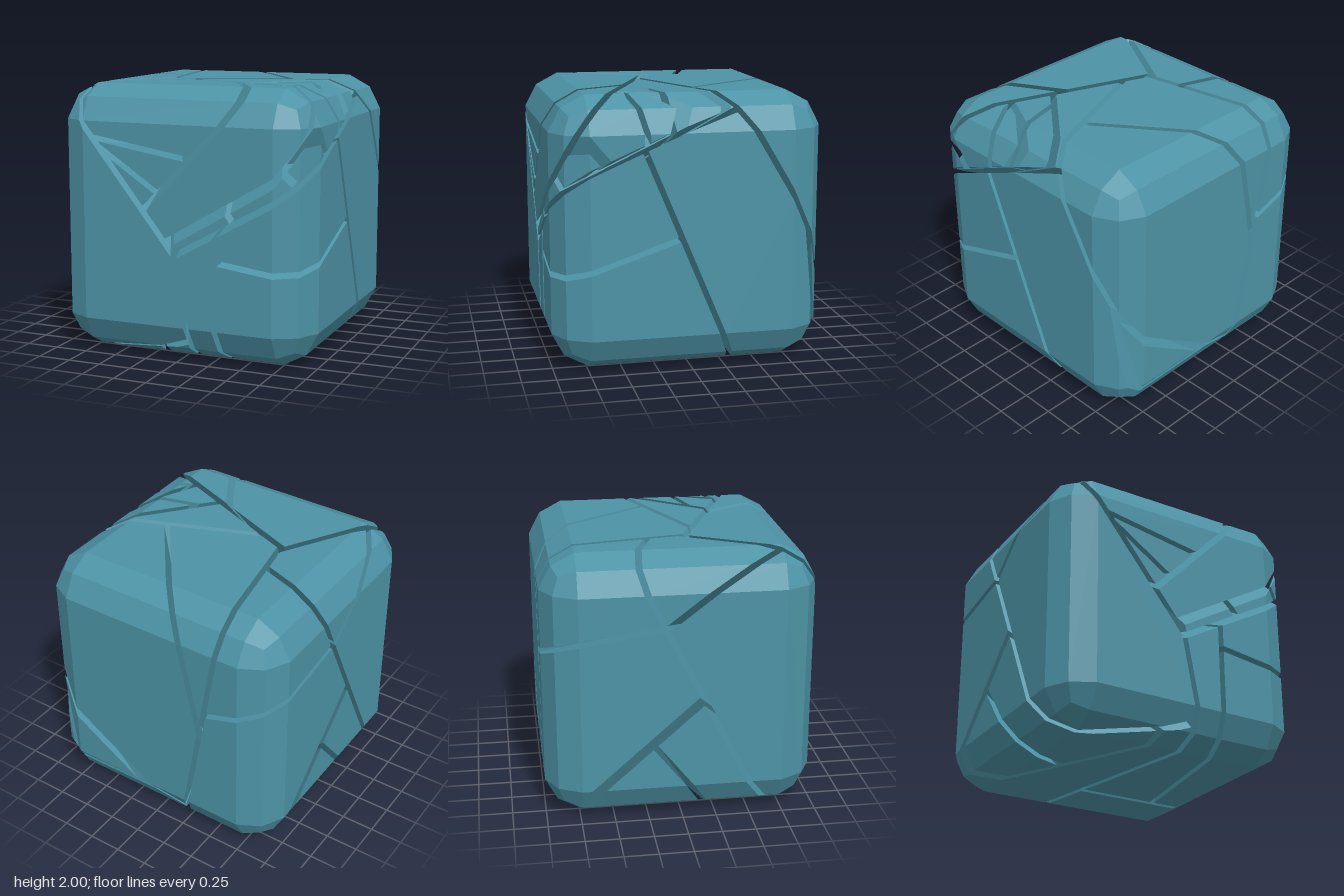
import * as THREE from 'three';

const V = (p) => new THREE.Vector3(...p);
const HALF_GAP = 0.021;
const EPS = 1e-6;

// Plane through three points, its normal turned along the hint direction
function crack(a, b, c, hint) {
  const plane = new THREE.Plane().setFromCoplanarPoints(V(a), V(b), V(c));
  return plane.normal.dot(V(hint)) < 0 ? plane.negate() : plane;
}

// Cut a convex solid (list of polygons), keep what lies behind the plane, close the cut
function clip(solid, plane) {
  const out = [], rim = [];
  let cut = false;
  const addRim = (p) => { if (!rim.some((q) => q.distanceTo(p) < 1e-5)) rim.push(p); };
  for (const poly of solid) {
    const d = poly.map((p) => plane.distanceToPoint(p));
    const kept = [];
    poly.forEach((p, i) => {
      const j = (i + 1) % poly.length;
      if (d[i] > EPS) cut = true;
      if (d[i] <= EPS) kept.push(p);
      if (Math.abs(d[i]) <= EPS) addRim(p);
      if ((d[i] > EPS && d[j] < -EPS) || (d[i] < -EPS && d[j] > EPS)) {
        const q = p.clone().lerp(poly[j], d[i] / (d[i] - d[j]));
        kept.push(q);
        addRim(q);
      }
    });
    if (kept.length > 2 && d.some((x) => x < -EPS)) out.push(kept);
  }
  if (!cut) return solid;
  if (!out.length) return [];
  if (rim.length > 2) {
    const mid = rim.reduce((s, p) => s.add(p), new THREE.Vector3()).divideScalar(rim.length);
    const u = rim[0].clone().sub(mid).normalize();
    const w = plane.normal.clone().cross(u);
    const angle = (p) => Math.atan2(p.clone().sub(mid).dot(w), p.clone().sub(mid).dot(u));
    out.push(rim.sort((p, q) => angle(p) - angle(q)));
  }
  return out;
}

// Either side of a crack, drawn back by half the gap
const above = (s, p) => clip(s, new THREE.Plane(p.normal.clone().negate(), -p.constant + HALF_GAP));
const below = (s, p) => clip(s, new THREE.Plane(p.normal.clone(), p.constant + HALF_GAP));
const split = (s, p) => [above(s, p), below(s, p)];

// Cube with two-step bevelled edges and three facets on each corner
function bevelledCube() {
  let solid = [];
  for (let axis = 0; axis < 3; axis++) {
    for (const s of [1, -1]) {
      const ring = [[1, 1], [-1, 1], [-1, -1], [1, -1]].map(([a, b]) => {
        const p = new THREE.Vector3();
        return p.setComponent(axis, s).setComponent((axis + 1) % 3, a).setComponent((axis + 2) % 3, b);
      });
      solid.push(s > 0 ? ring : ring.reverse());
    }
  }
  const inner = 0.74, edge = 0.91;
  const small = 1 - edge, big = edge - inner;
  for (let axis = 0; axis < 3; axis++) {
    for (const s of [1, -1]) for (const a of [-1, 0, 1]) for (const b of [-1, 0, 1]) {
      if (!a && !b) continue;
      const n = new THREE.Vector3();
      n.setComponent(axis, s * big).setComponent((axis + 1) % 3, a * small).setComponent((axis + 2) % 3, b * small);
      const reach = big + small * inner * (Math.abs(a) + Math.abs(b));
      solid = clip(solid, new THREE.Plane(n, -reach).normalize());
    }
  }
  return solid;
}

const X = [1, 0, 0], Y = [0, 1, 0], Z = [0, 0, 1], DOWN = [0, -1, 0];

// Main cracks, in cube coordinates from -1 to 1
const spine = crack([-0.02, -0.2, 1], [-0.6, 1, -1], [-0.26, -0.9, -1], X);
const frontSlant = crack([-0.44, 1, 0.1], [-0.8, 1, 0.72], [-0.02, -0.2, 1], X);
const backSlant = crack([-0.1, 1, 0.13], [0.74, 1, -0.2], [1, 0.12, -0.83], Z);
const topSlant = crack([-0.4, 1, 0.1], [0.97, 0.9, 0.72], [0.3, 0.1, 1], Z);
const waist = crack([0, -0.2, 1], [0.75, 0.22, 1], [1, 0.9, -0.25], Y);

// Secondary cracks
const frontDiagonal = crack([0.22, 1, 0.35], [0.45, 1, 0.74], [-0.2, 0.17, 1], X);
const wedgeTop = crack([-0.65, 0.62, 1], [0.08, 0.5, 1], [-0.2, 0.5, 0], Y);
const wedgeBottom = crack([-0.6, 0.55, 1], [-0.15, 0.25, 1], [-0.2, 0.3, 0], Y);
const rightSlant = crack([1, 0.67, 0.37], [1, -1, -0.33], [0, -1, -0.33], Z);
const frontUpright = crack([0.3, -0.05, 1], [0.3, -1, 1], [0.52, -1, -0.33], X);
const rightLevel = crack([0.3, -0.23, 1], [0.75, -0.29, 1], [1, -0.02, 0.1], Y);
const backPlate = crack([0.97, 0.1, -0.86], [0.9, -0.65, -0.95], [0, -0.9, -1], Z);
const backDiagonal = crack([0.48, 1, -0.1], [0, 1, -0.74], [-0.41, 0.03, -1], X);
const leftSlant = crack([-0.52, 1, -0.21], [-1, -0.75, 0.5], [0.1, -0.95, 1], Z);
const leftTop = crack([-0.8, 0.98, 0.72], [-1, 0.92, 0.45], [-1, 0.5, -0.1], Y);
const leftLevel = crack([-0.52, 0.21, -1], [-1, 0.4, -0.76], [-1, 0.5, -0.1], Y);
const leftFoot = crack([-1, -0.07, 0.14], [-1, -0.83, -0.72], [-0.4, -1, 0.3], DOWN);
const footChip = crack([-1, -0.42, -0.2], [-1, -0.85, 0.14], [-0.5, -0.9, 0], Y);

// Small cracks of the shattered corner
const chipA = crack([0.75, 1, -0.13], [0.35, 1, 0.35], [0.9, 0.5, 0.1], X);
const chipB = crack([0.62, 1, 0.52], [0.92, 1, -0.1], [1, 0.75, 0.1], X);
const chipC = crack([1, 0.85, 0.34], [1, 0.68, 0.33], [0.6, 1, 0.5], Z);
const chipD = crack([1, 0.75, 0.8], [1, 0.57, 0.65], [0.8, 0.5, 1], Z);
const chipE = crack([0.47, 1, 0.25], [0.78, 1, 0.17], [0.6, 0.5, 0.25], Z);

// Flat-sided geometry with one fan of triangles per polygon
function solidGeometry(solid) {
  const pos = [];
  for (const poly of solid) {
    for (let i = 1; i < poly.length - 1; i++) {
      for (const p of [poly[0], poly[i], poly[i + 1]]) pos.push(p.x, p.y + 1, p.z);
    }
  }
  const geo = new THREE.BufferGeometry();
  geo.setAttribute('position', new THREE.Float32BufferAttribute(pos, 3));
  geo.computeVertexNormals();
  return geo;
}

export function createModel() {
  const cube = bevelledCube();
  const [rightHalf, leftHalf] = split(cube, spine);

  // Upper front shards
  const upper = above(above(above(cube, frontSlant), topSlant), waist);
  const [upperRight, upperLeft] = split(upper, frontDiagonal);
  const [brow, underBrow] = split(upperLeft, wedgeTop);

  // Lower right shards
  const lower = below(above(rightHalf, backSlant), waist);
  const [lowerFront, lowerBack] = split(lower, rightSlant);
  const [lowerCorner, lowerMiddle] = split(lowerFront, frontUpright);

  // Back shards
  const back = below(below(rightHalf, backSlant), topSlant);

  // Left shards
  const left = below(leftHalf, frontSlant);
  const [leftFront, leftBack] = split(left, leftSlant);
  const [leftBackTop, leftBackLow] = split(leftBack, leftLevel);
  const [foot, leftBackMain] = split(leftBackLow, leftFoot);

  // Shattered corner
  const corner = above(above(below(rightHalf, topSlant), backSlant), waist);
  const [cornerOuter, cornerInner] = split(corner, chipA);
  const [cornerRim, cornerCore] = split(cornerOuter, chipB);
  const [rimFront, rimBack] = split(cornerRim, chipC);

  const sections = {
    upperFrontShards: [upperRight, brow, ...split(underBrow, wedgeBottom)],
    lowerRightShards: [lowerMiddle, ...split(lowerCorner, rightLevel), ...split(lowerBack, backPlate)],
    backShards: split(back, backDiagonal),
    leftShards: [...split(leftFront, leftTop), leftBackTop, leftBackMain, ...split(foot, footChip)],
    cornerChips: [cornerInner, ...split(cornerCore, chipE), ...split(rimFront, chipD), rimBack],
  };

  const material = new THREE.MeshStandardMaterial({ color: 0x4d93a6 });
  const model = new THREE.Group();
  model.name = 'crackedCube';
  for (const [name, solids] of Object.entries(sections)) {
    const group = new THREE.Group();
    group.name = name;
    solids.filter((s) => s.length > 3).forEach((s, i) => {
      const mesh = new THREE.Mesh(solidGeometry(s), material);
      mesh.name = `shard${i + 1}`;
      group.add(mesh);
    });
    model.add(group);
  }
  return model;
}
